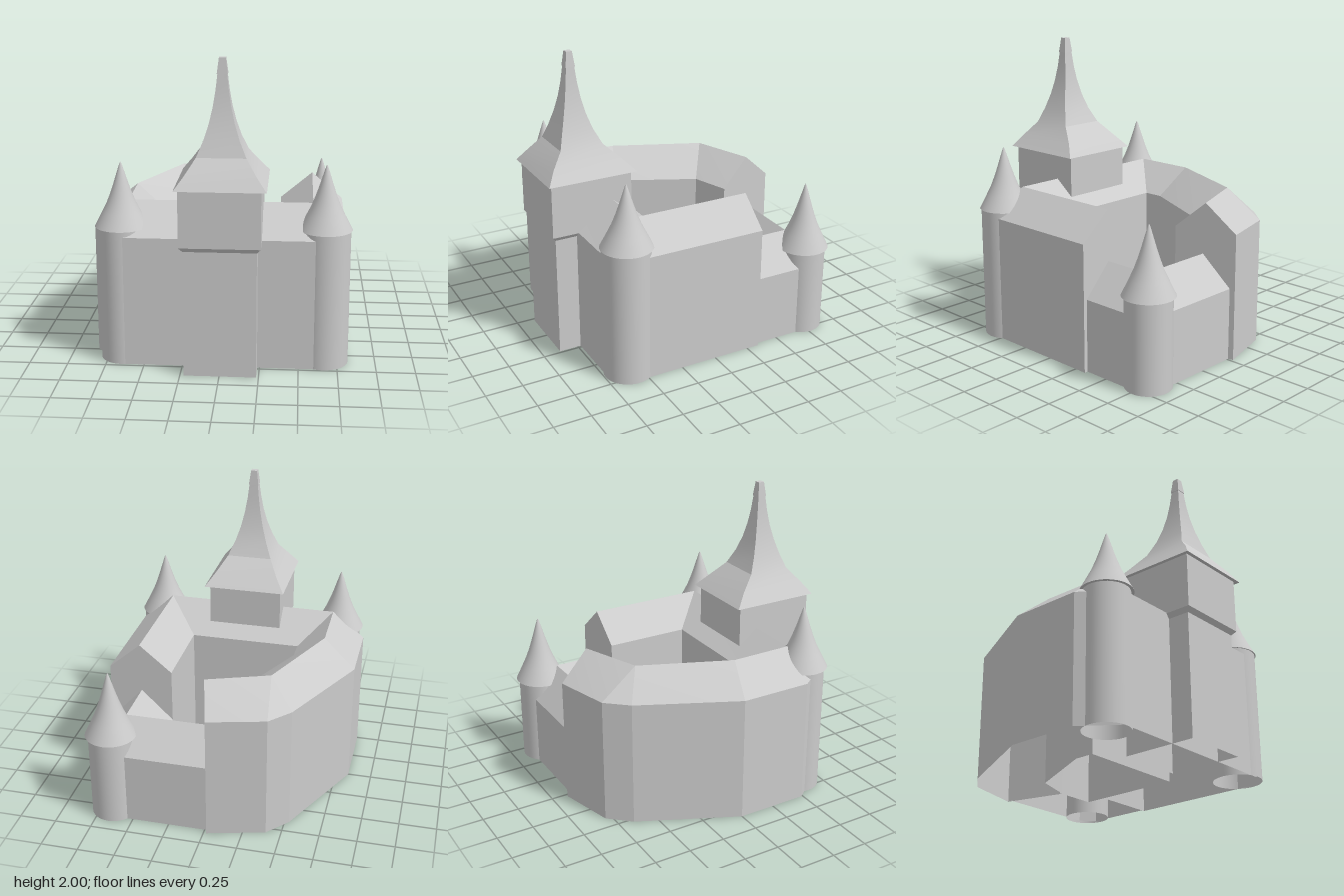
import * as THREE from 'three';
import { toCreasedNormals } from 'three/addons/utils/BufferGeometryUtils.js';

const material = new THREE.MeshStandardMaterial({ color: 0xcccccc, side: THREE.DoubleSide });

function mesh(name, geometry) {
  const m = new THREE.Mesh(geometry, material);
  m.name = name;
  return m;
}

// Skin over rows of points; closed joins the last column to the first, caps fill the end rows.
function loft(rows, { closed = false, caps = false, crease = 0.1 } = {}) {
  const n = rows[0].length;
  const index = [];
  for (let r = 0; r < rows.length - 1; r++) {
    for (let j = 0; j < (closed ? n : n - 1); j++) {
      const k = (j + 1) % n;
      const a = r * n + j, b = r * n + k, c = b + n, d = a + n;
      index.push(a, b, c, a, c, d);
    }
  }
  if (caps) {
    const last = (rows.length - 1) * n;
    for (let j = 1; j < n - 1; j++) {
      index.push(0, j + 1, j, last, last + j, last + j + 1);
    }
  }
  const g = new THREE.BufferGeometry();
  g.setAttribute('position', new THREE.Float32BufferAttribute(rows.flat(2), 3));
  g.setIndex(index);
  return toCreasedNormals(g, crease);
}

// Gabled wing: each station is [outer x, z, ridge x, z, inner x, z].
function wing(name, stations, eave, ridge) {
  const rows = stations.map(([ox, oz, rx, rz, ix, iz]) => [
    [ox, 0, oz], [ox, eave, oz], [rx, ridge, rz], [ix, eave, iz], [ix, 0, iz],
  ]);
  return mesh(name, loft(rows, { caps: true }));
}

// Horizontal rectangle of four corners.
const rect = (x0, x1, z0, z1, y) => [[x0, y, z1], [x1, y, z1], [x1, y, z0], [x0, y, z0]];

// Round tower with a flared conical roof.
function roundTower(name, x, z, radius, wallTop, roofHeight) {
  const tower = new THREE.Group();
  tower.name = name;
  const wall = mesh('towerWall', new THREE.CylinderGeometry(radius, radius, wallTop, 40, 1, true));
  wall.position.y = wallTop / 2;
  const profile = [[0.172, 0], [0.15, 0.1], [0.122, 0.23], [0.095, 0.36], [0.07, 0.51],
    [0.047, 0.67], [0.026, 0.83], [0.007, 0.97], [0, 1]]
    .map(([r, t]) => new THREE.Vector2(r, t * roofHeight));
  const roof = mesh('towerRoof', new THREE.LatheGeometry(profile, 40));
  roof.position.y = wallTop;
  // Underside of the eave
  const soffit = mesh('towerEave', new THREE.RingGeometry(radius - 0.01, 0.172, 40));
  soffit.rotation.x = Math.PI / 2;
  soffit.position.y = wallTop;
  tower.add(wall, roof, soffit);
  tower.position.set(x, 0, z);
  return tower;
}

function gateTower() {
  const tower = new THREE.Group();
  tower.name = 'gateTower';
  // Walls with a slight outward step near the top
  const walls = loft([
    rect(-0.225, 0.235, 0.37, 0.88, 0),
    rect(-0.225, 0.235, 0.37, 0.88, 0.825),
    rect(-0.25, 0.26, 0.345, 0.905, 0.855),
    rect(-0.25, 0.26, 0.345, 0.905, 1.22),
  ], { closed: true });
  // Concave spire: [half width, height]
  const profile = [[0.285, 1.22], [0.22, 1.305], [0.155, 1.4], [0.112, 1.5], [0.08, 1.6],
    [0.057, 1.7], [0.041, 1.8], [0.03, 1.9], [0.034, 1.9], [0.021, 2], [0, 2]];
  const rows = profile.map(([r, y]) => {
    const cz = 0.655 - 0.0325 * Math.max(0, (r - 0.1) / 0.185);
    const rz = r * (r > 0.2 ? 1.08 : 0.95);
    return rect(0.009 - r, 0.009 + r, cz - rz, cz + rz, y);
  });
  rows.unshift(rect(-0.25, 0.26, 0.345, 0.905, 1.22));
  tower.add(mesh('gateTowerWalls', walls),
    mesh('gateTowerSpire', loft(rows, { closed: true, crease: 0.35 })));
  return tower;
}

export function createModel() {
  const castle = new THREE.Group();
  castle.name = 'castle';

  // Tall wing: left side, front, right side and the angled back
  castle.add(wing('mainWing', [
    [0.795, -0.335, 0.58, -0.335, 0.36, -0.335],
    [0.795, 0.6, 0.58, 0.485, 0.36, 0.245],
    [0.66, 0.73, 0.58, 0.485, 0.36, 0.245],
    [-0.66, 0.73, -0.615, 0.48, -0.4, 0.245],
    [-0.84, 0.49, -0.615, 0.48, -0.4, 0.245],
    [-0.84, 0, -0.62, 0.06, -0.4, 0.11],
    [-0.53, -0.65, -0.37, -0.535, -0.165, -0.39],
    [-0.4, -0.795, -0.37, -0.535, -0.165, -0.39],
    [-0.02, -0.895, 0.035, -0.685, 0.09, -0.475],
  ], 0.86, 1.045));

  // Low wing closing the back left corner of the courtyard
  castle.add(wing('lowWing', [
    [-0.03, -0.86, 0.02, -0.67, 0.07, -0.48],
    [0.68, -0.86, 0.575, -0.67, 0.36, -0.48],
    [0.77, -0.78, 0.575, -0.67, 0.36, -0.48],
    [0.77, -0.33, 0.575, -0.33, 0.36, -0.33],
  ], 0.49, 0.7));

  castle.add(gateTower());
  castle.add(roundTower('frontLeftTower', 0.66, 0.58, 0.163, 0.9, 0.42));
  castle.add(roundTower('frontRightTower', -0.648, 0.58, 0.152, 0.9, 0.42));
  castle.add(roundTower('backTower', 0.656, -0.763, 0.153, 0.6, 0.455));
  return castle;
}
